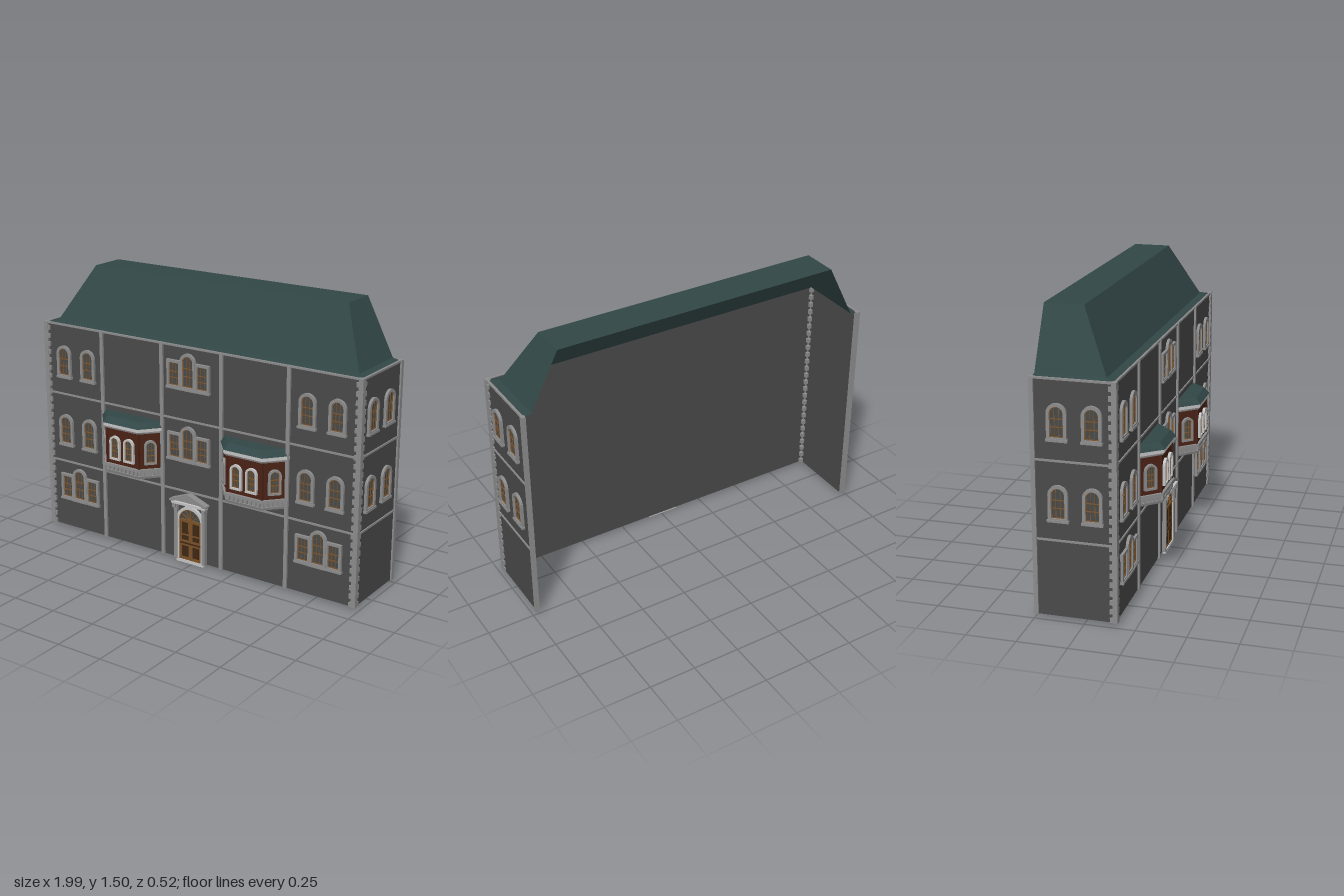
import * as THREE from 'three';
import { ConvexGeometry } from 'three/addons/geometries/ConvexGeometry.js';

const mat = (name, color, side = THREE.FrontSide) => {
  const m = new THREE.MeshStandardMaterial({ color, side });
  m.name = name;
  return m;
};

export function createModel() {
  const M = {
    wall: mat('wall grey', 0x4a4a4a),
    trim: mat('stone trim', 0x8c8c8c),
    light: mat('pale stone', 0xc4c4c4),
    roof: mat('roof green', 0x324747, THREE.DoubleSide),
    glass: mat('dark glass', 0x464a4a),
    sash: mat('window wood', 0x80552a),
    door: mat('door wood', 0x7a5228),
    panel: mat('dark panel', 0x3f2816),
    bay: mat('bay timber', 0x4a2216),
  };
  const model = new THREE.Group();
  model.name = 'townhouse';

  const add = (parent, name, geo, m) => {
    const mesh = new THREE.Mesh(geo, m);
    mesh.name = name;
    parent.add(mesh);
    return mesh;
  };
  // Box given by its limits on each axis
  const box = (parent, name, m, x0, x1, y0, y1, z0, z1) => {
    const b = add(parent, name, new THREE.BoxGeometry(x1 - x0, y1 - y0, z1 - z0), m);
    b.position.set((x0 + x1) / 2, (y0 + y1) / 2, (z0 + z1) / 2);
    return b;
  };
  const group = (parent, name, x = 0, y = 0, z = 0, ry = 0) => {
    const g = new THREE.Group();
    g.name = name;
    g.position.set(x, y, z);
    g.rotation.y = ry;
    parent.add(g);
    return g;
  };
  // Outline with a round or a square head, standing on y0
  const outline = (path, w, y0, y1, arched) => {
    const r = w / 2;
    path.moveTo(-r, y0).lineTo(r, y0);
    if (arched) path.lineTo(r, y1 - r).absarc(0, y1 - r, r, 0, Math.PI, false);
    else path.lineTo(r, y1).lineTo(-r, y1);
    path.lineTo(-r, y0);
    return path;
  };
  const ring = (w, y0, y1, t, depth, arched) => {
    const s = outline(new THREE.Shape(), w, y0, y1, arched);
    s.holes.push(outline(new THREE.Path(), w - 2 * t, y0 + t, y1 - t, arched));
    return new THREE.ExtrudeGeometry(s, { depth, bevelEnabled: false, curveSegments: 10 });
  };

  // Window standing on its local origin and facing +z
  const makeWindow = (parent, x, y, z, ry, w, h, arched = true, frame = M.trim, sill = true) => {
    const g = group(parent, 'window', x, y, z, ry);
    const t = w * 0.16, iw = w - 2 * t;
    const pane = outline(new THREE.Shape(), iw, t, h - t, arched);
    add(g, 'windowGlass', new THREE.ShapeGeometry(pane, 10), M.glass).position.z = 0.002;
    add(g, 'windowFrame', ring(w, 0, h, t, 0.014, arched), frame);
    add(g, 'windowSash', ring(iw, t, h - t, 0.004, 0.006, arched), M.sash);
    for (const sx of [-1, 1]) box(g, 'mullion', M.sash, sx * iw / 6 - 0.0015, sx * iw / 6 + 0.0015, t, h - t * 1.5, 0.002, 0.005);
    for (const f of [0.36, 0.58]) box(g, 'glazingBar', M.sash, -iw / 2, iw / 2, h * f - 0.002, h * f + 0.002, 0.002, 0.006);
    if (sill) box(g, 'windowSill', M.trim, -w / 2 - 0.004, w / 2 + 0.004, -0.004, 0.008, 0, 0.018);
    return g;
  };
  // Arched window between two square-headed lights
  const tripleWindow = (x, y) => {
    const g = group(model, 'tripleWindow', x, y, 0.15);
    makeWindow(g, 0, 0, 0.002, 0, 0.096, 0.195);
    for (const s of [-1, 1]) makeWindow(g, s * 0.088, 0, 0, 0, 0.09, 0.15, false);
  };

  // Walls, open at the back
  box(model, 'frontWall', M.wall, -0.975, 0.975, 0, 1.18, 0.14, 0.15);
  for (const s of [-1, 1]) {
    const x0 = Math.min(s * 0.967, s * 0.977), x1 = Math.max(s * 0.967, s * 0.977);
    box(model, 'sideWall', M.wall, x0, x1, 0, 1.18, -0.25, 0.15);
  }

  // Floor bands, eaves band and pilasters
  for (const y of [0.39, 0.785, 1.178]) {
    box(model, 'frontBand', M.trim, -0.98, 0.98, y - 0.005, y + 0.005, 0.145, 0.156);
    for (const s of [-1, 1]) box(model, 'sideBand', M.trim, s * 0.977 - 0.006, s * 0.977 + 0.006, y - 0.005, y + 0.005, -0.25, 0.15);
  }
  for (const x of [-0.588, -0.192, 0.182, 0.578]) box(model, 'pilaster', M.trim, x - 0.01, x + 0.01, 0, 1.18, 0.145, 0.161);

  // Corner posts with alternating quoins
  for (const s of [-1, 1]) {
    const corner = group(model, 'cornerPost');
    const span = (name, a, b, y0, y1, z0, z1) =>
      box(corner, name, M.trim, Math.min(s * a, s * b), Math.max(s * a, s * b), y0, y1, z0, z1);
    span('post', 0.96, 0.986, 0, 1.183, 0.136, 0.161);
    span('rearPost', 0.965, 0.986, 0, 1.183, -0.256, -0.234);
    for (let i = 0; i < 26; i++) {
      const y = i * 0.0455;
      span('quoin', 0.948, 0.985, y, y + 0.025, 0.122, 0.16);
    }
  }

  // Mansard roof shell with a narrow ledge at the eaves
  const course = (x, y, z) => [[-x, y, -0.245], [-x, y, z], [x, y, z], [x, y, -0.245]];
  const courses = [course(0.972, 1.178, 0.15), course(0.93, 1.186, 0.1), course(0.78, 1.48, -0.05)];
  const tris = [];
  const quad = (a, b, c, d) => tris.push(...a, ...b, ...c, ...a, ...c, ...d);
  for (let k = 0; k < 2; k++)
    for (let i = 0; i < 3; i++) quad(courses[k][i], courses[k][i + 1], courses[k + 1][i + 1], courses[k + 1][i]);
  quad(...courses[2]);
  const roofGeo = new THREE.BufferGeometry();
  roofGeo.setAttribute('position', new THREE.Float32BufferAttribute(tris, 3));
  roofGeo.computeVertexNormals();
  add(model, 'roof', roofGeo, M.roof);

  // Front windows
  for (const y of [0.488, 0.882])
    for (const x of [-0.853, -0.688, 0.686, 0.853]) makeWindow(model, x, y, 0.15, 0, 0.096, 0.18);
  for (const [x, y] of [[-0.767, 0.167], [0.767, 0.167], [-0.022, 0.56], [-0.022, 0.952]]) tripleWindow(x, y);

  // Side windows
  for (const s of [-1, 1])
    for (const y of [0.488, 0.885])
      for (const z of [0.043, -0.125]) makeWindow(model, s * 0.977, y, z, s * Math.PI / 2, 0.098, 0.18);

  // Bay windows: canted layers from corbel to roof
  const plan = (o, y) => [[-0.19 - o, 0], [-0.105 - o * 0.5, 0.093 + o], [0.105 + o * 0.5, 0.093 + o], [0.19 + o, 0]]
    .map(([x, z]) => new THREE.Vector3(x, y, z));
  const layer = (g, name, m, o0, y0, o1, y1) =>
    add(g, name, new ConvexGeometry([...plan(o0, y0), ...plan(o1, y1)]), m);
  for (const x of [-0.39, 0.382]) {
    const g = group(model, 'bayWindow', x, 0, 0.15);
    layer(g, 'bayFoot', M.trim, 0.004, 0.436, 0.008, 0.45);
    layer(g, 'bayCorbel', M.trim, -0.004, 0.45, -0.004, 0.476);
    layer(g, 'baySill', M.trim, 0.014, 0.476, 0.014, 0.49);
    layer(g, 'bayBody', M.bay, 0, 0.49, 0, 0.69);
    layer(g, 'bayCornice', M.light, 0.008, 0.688, 0.017, 0.7);
    layer(g, 'bayFascia', M.light, 0.017, 0.7, 0.017, 0.718);
    layer(g, 'bayRoof', M.roof, 0.019, 0.718, -0.008, 0.75);
    // Dentils follow the three faces
    const p = plan(0, 0.463);
    for (let f = 0; f < 3; f++) {
      const n = f === 1 ? 8 : 5, d = p[f + 1].clone().sub(p[f]);
      for (let i = 0; i < n; i++) {
        const b = add(g, 'dentil', new THREE.BoxGeometry(0.012, 0.026, 0.016), M.trim);
        b.position.copy(p[f]).addScaledVector(d, (i + 0.5) / n);
        b.rotation.y = -Math.atan2(d.z, d.x);
      }
    }
    for (const s of [-1, 1]) {
      makeWindow(g, s * 0.046, 0.515, 0.093, 0, 0.068, 0.135, true, M.light, false);
      makeWindow(g, s * 0.1475, 0.515, 0.0465, s * 0.83, 0.068, 0.135, true, M.trim, false);
      const post = box(g, 'bayCornerPost', M.bay, -0.005, 0.005, 0.49, 0.69, -0.005, 0.005);
      post.position.x = s * 0.105;
      post.position.z = 0.093;
    }
  }

  // Entrance: surround, arched fanlight, double door and pediment
  const e = group(model, 'entrance', -0.011, 0, 0.15);
  const backing = outline(new THREE.Shape(), 0.15, 0, 0.295, true);
  add(e, 'fanlightGlass', new THREE.ShapeGeometry(backing, 14), M.glass).position.z = 0.002;
  add(e, 'doorArch', ring(0.174, -0.016, 0.31, 0.016, 0.016, true), M.light).position.y = 0;
  add(e, 'doorArchLining', ring(0.146, 0, 0.296, 0.007, 0.01, true), M.door);
  for (const s of [-1, 1]) {
    box(e, 'doorPilaster', M.trim, s * 0.09 - 0.01, s * 0.09 + 0.01, 0, 0.32, 0, 0.02);
    box(e, 'pediment bracket', M.trim, s * 0.094 - 0.009, s * 0.094 + 0.009, 0.295, 0.325, 0, 0.03);
    const c = s * 0.0345;
    box(e, 'doorLeaf', M.door, c - 0.0335, c + 0.0335, 0, 0.228, 0, 0.008);
    for (const [y0, y1] of [[0.018, 0.08], [0.115, 0.14], [0.15, 0.215]])
      box(e, 'doorPanel', M.panel, c - 0.02, c + 0.02, y0, y1, 0.006, 0.01);
  }
  box(e, 'doorRail', M.panel, -0.068, 0.068, 0.092, 0.1, 0.006, 0.011);
  box(e, 'doorTransom', M.door, -0.07, 0.07, 0.222, 0.232, 0, 0.012);
  for (let i = 1; i < 6; i++) {
    const a = i * Math.PI / 6;
    const bar = add(e, 'fanlightBar', new THREE.BoxGeometry(0.066, 0.004, 0.006), M.door);
    bar.position.set(Math.cos(a) * 0.033, 0.228 + Math.sin(a) * 0.033, 0.004);
    bar.rotation.z = a;
  }
  box(e, 'pedimentBase', M.light, -0.108, 0.108, 0.32, 0.333, 0, 0.034);
  const tri = (w, y0, y1) => new THREE.Shape([[-w, y0], [w, y0], [0, y1]].map(([a, b]) => new THREE.Vector2(a, b)));
  const extrude = (s, depth) => new THREE.ExtrudeGeometry(s, { depth, bevelEnabled: false });
  add(e, 'pedimentField', extrude(tri(0.108, 0.333, 0.378), 0.02), M.trim);
  const cap = new THREE.Shape([[-0.118, 0.333], [-0.098, 0.333], [0, 0.372], [0.098, 0.333], [0.118, 0.333], [0.118, 0.343], [0, 0.388], [-0.118, 0.343]]
    .map(([a, b]) => new THREE.Vector2(a, b)));
  add(e, 'pedimentCap', extrude(cap, 0.037), M.trim);
  return model;
}
